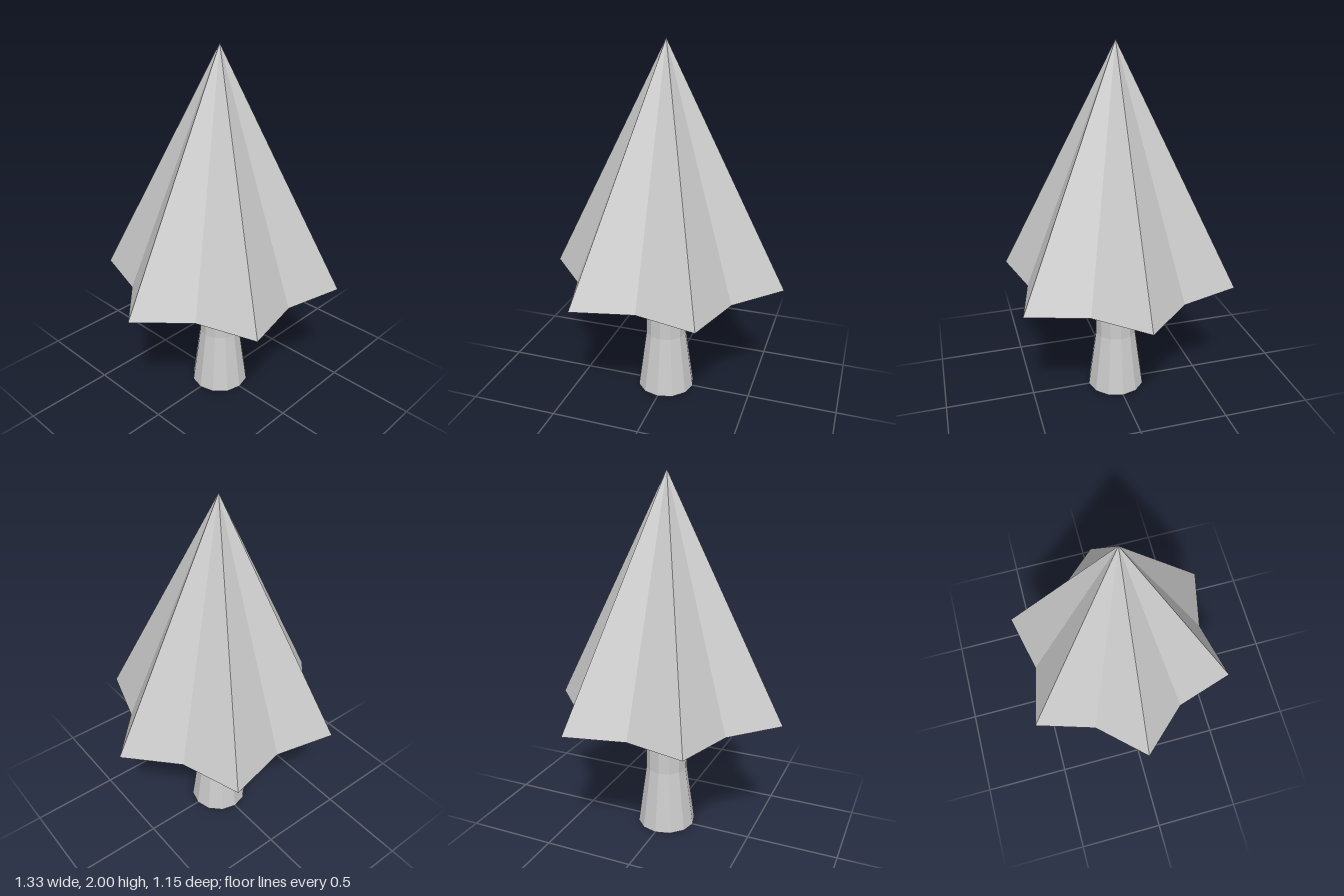
import * as THREE from 'three';

const SIDES = 12;

// Revolves [radius, height] pairs, listed from the bottom centre outward and up
function revolve(profile) {
  return new THREE.LatheGeometry(profile.map(([r, y]) => new THREE.Vector2(r, y)), SIDES);
}

function part(name, geometry) {
  const material = new THREE.MeshStandardMaterial({ color: 0xcccccc, flatShading: true });
  const mesh = new THREE.Mesh(geometry, material);
  mesh.name = name;
  return mesh;
}

// Six-pointed star cone with a hollowed underside
function starCone(tipRadius, valleyRadius, hollowY, rimY, topY) {
  const geometry = revolve([[0, hollowY], [1, rimY], [0, topY]]);
  const pos = geometry.attributes.position;
  for (let i = 0; i < pos.count; i++) {
    const x = pos.getX(i), z = pos.getZ(i);
    const isTip = Math.cos(6 * Math.atan2(z, x)) > 0;
    const r = isTip ? tipRadius : valleyRadius;
    pos.setXYZ(i, x * r, pos.getY(i), z * r);
  }
  geometry.computeVertexNormals();
  return geometry;
}

export function createModel() {
  const tree = new THREE.Group();
  tree.name = 'tree';

  // Trunk flares toward the ground and runs up into the hollow of the foliage
  tree.add(part('trunk', revolve([[0, 0], [0.165, 0], [0.117, 0.35], [0.117, 1.2], [0, 1.2]])));
  tree.add(part('foliage', starCone(0.664, 0.5, 1.3, 0.71, 2)));

  return tree;
}
